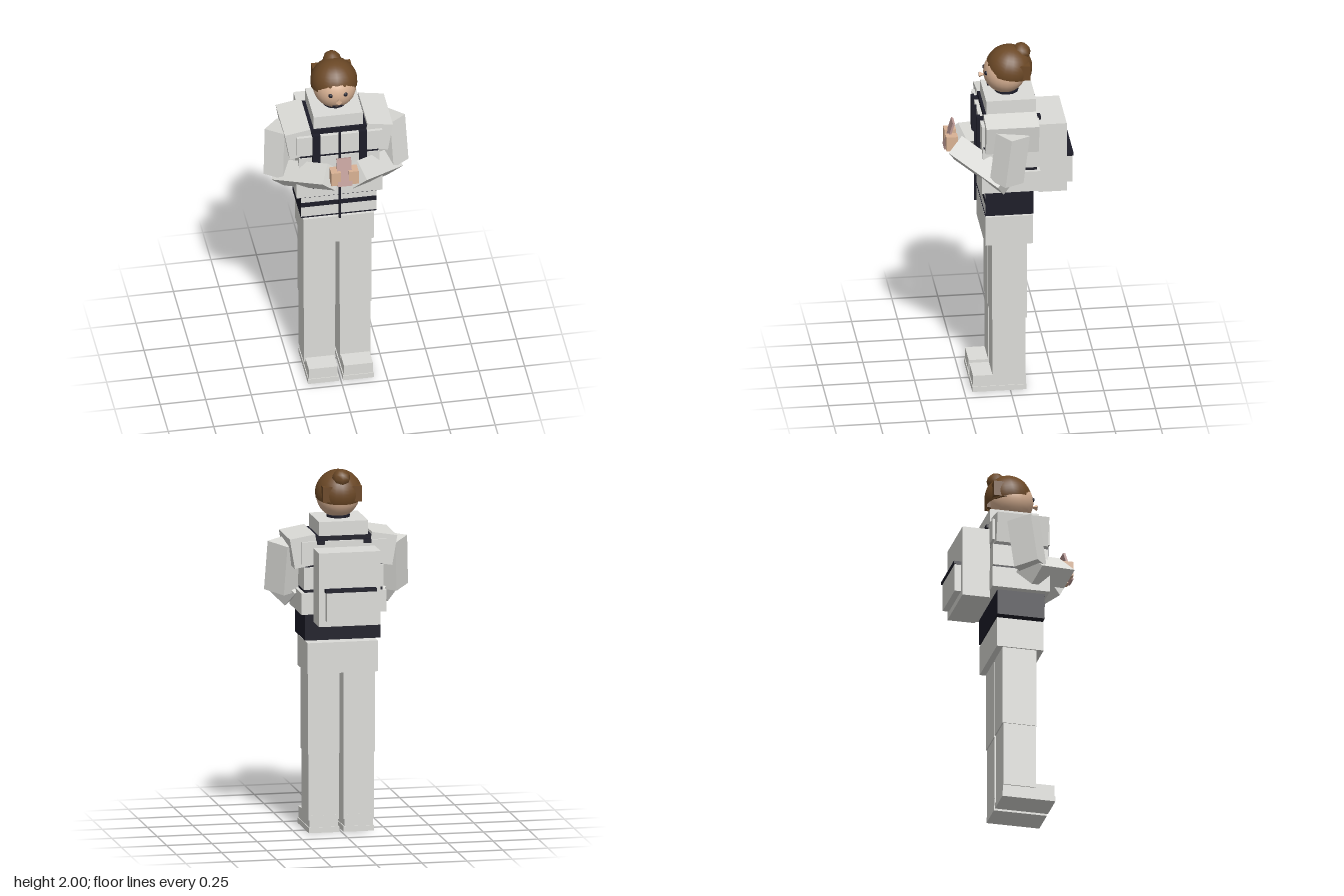
import * as THREE from 'three';

const mat = (name, color, side = THREE.FrontSide) => {
  const m = new THREE.MeshStandardMaterial({ color, side });
  m.name = name;
  return m;
};

export function createModel() {
  const model = new THREE.Group();
  model.name = 'figure';
  const cloth = mat('paleGrey', 0xdcdcd8);
  const dark = mat('darkNavy', 0x1d1d29);
  const skin = mat('skin', 0xd9b294);
  const hair = mat('brownHair', 0x6b4826, THREE.DoubleSide);
  const pink = mat('dustyPink', 0xbd9a96);

  const add = (name, geo, material, x = 0, y = 0, z = 0) => {
    const mesh = new THREE.Mesh(geo, material);
    mesh.name = name;
    mesh.position.set(x, y, z);
    model.add(mesh);
    return mesh;
  };
  // Box given by its extents on each axis
  const box = (name, material, [x0, x1], [y0, y1], [z0, z1]) =>
    add(name, new THREE.BoxGeometry(x1 - x0, y1 - y0, z1 - z0), material,
      (x0 + x1) / 2, (y0 + y1) / 2, (z0 + z1) / 2);
  // Same box on both sides of the body
  const pair = (name, material, [x0, x1], y, z) => {
    box(name + 'Left', material, [x0, x1], y, z);
    box(name + 'Right', material, [-x1, -x0], y, z);
  };
  // Box stretched between two joints
  const limb = (name, a, b, w, d) => {
    const dir = b.clone().sub(a);
    const mesh = add(name, new THREE.BoxGeometry(w, dir.length(), d), cloth);
    mesh.position.copy(a).add(b).multiplyScalar(0.5);
    mesh.quaternion.setFromUnitVectors(new THREE.Vector3(0, 1, 0), dir.normalize());
  };

  // Shoes and legs
  pair('sole', cloth, [0.012, 0.18], [0, 0.03], [-0.088, 0.207]);
  pair('shoe', cloth, [0.017, 0.176], [0.03, 0.095], [-0.084, 0.203]);
  pair('lowerLeg', cloth, [0.013, 0.182], [0.07, 0.435], [-0.083, 0.097]);
  pair('upperLeg', cloth, [0.01, 0.186], [0.435, 0.89], [-0.089, 0.101]);
  box('hips', cloth, [-0.194, 0.194], [0.885, 1.055], [-0.122, 0.138]);

  // Jacket hem: dark sides and back, pale front with stripes
  const hem = box('jacketHem', dark, [-0.208, 0.208], [1.07, 1.215], [-0.122, 0.138]);
  hem.material = [dark, dark, dark, dark, cloth, dark];
  for (const [y0, y1] of [[1.07, 1.076], [1.14, 1.168], [1.203, 1.215]])
    box('hemStripe', dark, [-0.208, 0.208], [y0, y1], [0.138, 0.141]);

  // Quilted jacket with dark seams
  box('waistPanel', cloth, [-0.235, 0.235], [1.22, 1.338], [-0.157, 0.162]);
  box('lowerSeam', dark, [-0.215, 0.215], [1.338, 1.356], [-0.14, 0.15]);
  box('middlePanel', cloth, [-0.22, 0.22], [1.356, 1.478], [-0.15, 0.155]);
  box('upperSeam', dark, [-0.215, 0.215], [1.478, 1.498], [-0.14, 0.15]);
  box('chestPanel', cloth, [-0.235, 0.235], [1.498, 1.62], [-0.157, 0.162]);
  box('yoke', dark, [-0.154, 0.154], [1.62, 1.648], [-0.14, 0.14]);
  box('collar', cloth, [-0.135, 0.135], [1.648, 1.725], [-0.145, 0.126]);
  box('zip', dark, [-0.006, 0.006], [1.07, 1.64], [0.162, 0.176]);
  add('neckBand', new THREE.CylinderGeometry(0.065, 0.065, 0.04, 12), dark, 0, 1.717, 0);

  // Backpack
  pair('frontStrap', dark, [0.107, 0.149], [1.285, 1.635], [0.158, 0.177]);
  pair('topStrap', dark, [0.107, 0.149], [1.605, 1.625], [-0.17, 0.177]);
  box('backpack', cloth, [-0.17, 0.17], [1.18, 1.586], [-0.308, -0.155]);
  box('backpackPocket', cloth, [-0.135, 0.135], [1.215, 1.375], [-0.343, -0.308]);
  box('pocketTrim', dark, [-0.141, 0.141], [1.373, 1.39], [-0.349, -0.305]);

  // Arms and hands
  for (const s of [1, -1]) {
    const side = s > 0 ? 'Left' : 'Right';
    const v = (x, y, z) => new THREE.Vector3(s * x, y, z);
    const shoulder = add('shoulder' + side, new THREE.BoxGeometry(0.142, 0.165, 0.288),
      cloth, s * 0.213, 1.566, 0);
    shoulder.rotation.z = -s * 0.17;
    limb('upperArm' + side, v(0.295, 1.595, 0), v(0.3075, 1.322, 0.036), 0.12, 0.14);
    limb('forearm' + side, v(0.302, 1.312, 0.031), v(0.063, 1.42, 0.27), 0.118, 0.118);
  }
  pair('hand', skin, [0.022, 0.075], [1.407, 1.49], [0.272, 0.335]);
  const phone = add('phone', new THREE.BoxGeometry(0.08, 0.16, 0.012), pink, 0, 1.478, 0.314);
  phone.rotation.x = -0.3;

  // Head and face
  add('head', new THREE.SphereGeometry(0.117, 24, 16), skin, 0, 1.838, 0.009);
  for (const s of [1, -1])
    add('eye', new THREE.SphereGeometry(0.013, 10, 8), dark, s * 0.04, 1.85, 0.113);
  box('mouth', dark, [-0.027, 0.027], [1.768, 1.776], [0.098, 0.107]);
  const noseGeo = new THREE.ConeGeometry(0.018, 0.035, 4).toNonIndexed();
  noseGeo.computeVertexNormals();
  add('nose', noseGeo, skin, 0, 1.824, 0.132).rotation.x = -Math.PI / 2;

  // Hair cap, bun and back tufts
  const cap = add('hairCap', new THREE.SphereGeometry(0.128, 20, 12, 0, Math.PI * 2, 0, 1.77),
    hair, 0, 1.858, -0.013);
  cap.rotation.x = -0.18;
  add('hairBun', new THREE.SphereGeometry(0.052, 8, 6), hair, 0, 1.948, -0.08);
  pair('hairTuft', hair, [0.055, 0.107], [1.825, 1.91], [-0.117, -0.045]);

  return model;
}
